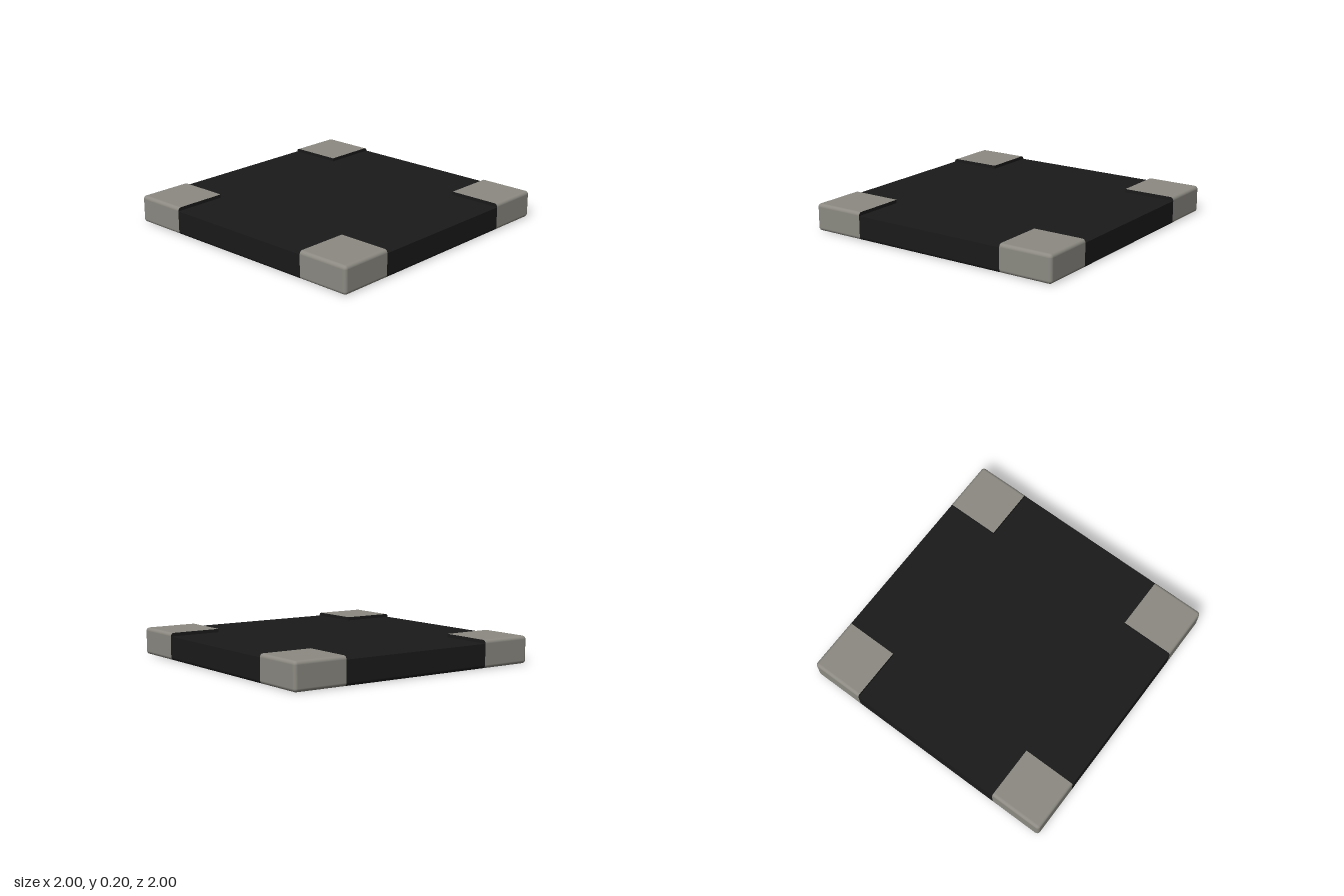
import * as THREE from 'three';
import { RoundedBoxGeometry } from 'three/addons/geometries/RoundedBoxGeometry.js';

const HEIGHT = 0.2, RADIUS = 0.025, DECK = 0.175, INNER = 0.6;

const black = new THREE.MeshStandardMaterial({ color: 0x1a1a1a });
const grey = new THREE.MeshStandardMaterial({ color: 0x8c8a82 });

// Cuts a block out of the full rounded slab by clamping its vertices to a box.
// Triangles lying in a cut plane become flat caps (material 1); buried walls collapse and are dropped.
function slice(min, max) {
  const slab = new RoundedBoxGeometry(2, HEIGHT, 2, 4, RADIUS).translate(0, HEIGHT / 2, 0);
  const box = new THREE.Box3(new THREE.Vector3(...min), new THREE.Vector3(...max));
  const pos = slab.attributes.position, nor = slab.attributes.normal;
  const parts = [{ p: [], n: [] }, { p: [], n: [] }];
  const tri = new THREE.Triangle();
  for (let i = 0; i < pos.count; i += 3) {
    const corners = [0, 1, 2].map(k => new THREE.Vector3().fromBufferAttribute(pos, i + k).clamp(box.min, box.max));
    const inPlane = (axis, value) => Math.abs(value) < 0.99 && corners.every(c => Math.abs(c[axis] - value) < 1e-5);
    const wall = ['x', 'z'].some(a => inPlane(a, box.min[a]) || inPlane(a, box.max[a]));
    const deck = max[1] < HEIGHT && inPlane('y', max[1]);
    // walls between blocks show only above the deck
    if (wall) corners.forEach(c => { c.y = Math.max(c.y, DECK); });
    tri.set(...corners);
    if (tri.getArea() < 1e-8) continue;
    const flat = tri.getNormal(new THREE.Vector3());
    const part = parts[wall ? 1 : 0];
    corners.forEach((c, k) => {
      const n = wall || deck ? flat : new THREE.Vector3().fromBufferAttribute(nor, i + k);
      part.p.push(c.x, c.y, c.z);
      part.n.push(n.x, n.y, n.z);
    });
  }
  const geometry = new THREE.BufferGeometry();
  geometry.setAttribute('position', new THREE.Float32BufferAttribute([...parts[0].p, ...parts[1].p], 3));
  geometry.setAttribute('normal', new THREE.Float32BufferAttribute([...parts[0].n, ...parts[1].n], 3));
  const skin = parts[0].p.length / 3, caps = parts[1].p.length / 3;
  geometry.addGroup(0, skin, 0);
  if (caps) geometry.addGroup(skin, caps, 1);
  return geometry;
}

export function createModel() {
  const model = new THREE.Group();
  model.name = 'tile';
  const add = (name, material, min, max) => {
    const mesh = new THREE.Mesh(slice(min, max), [material, black]);
    mesh.name = name;
    model.add(mesh);
  };

  // Dark cross-shaped body: a full-depth middle strip and two side arms
  add('bodyMiddle', black, [-INNER, 0, -1], [INNER, DECK, 1]);
  add('bodyLeft', black, [INNER, 0, -INNER], [1, DECK, INNER]);
  add('bodyRight', black, [-1, 0, -INNER], [-INNER, DECK, INNER]);

  // Raised corner blocks, rounded on the outside only, with dark step walls
  for (const [xName, x0, x1] of [['Left', INNER, 1], ['Right', -1, -INNER]])
    for (const [zName, z0, z1] of [['front', INNER, 1], ['back', -1, -INNER]])
      add(`${zName}${xName}Corner`, grey, [x0, 0, z0], [x1, HEIGHT, z1]);

  return model;
}
